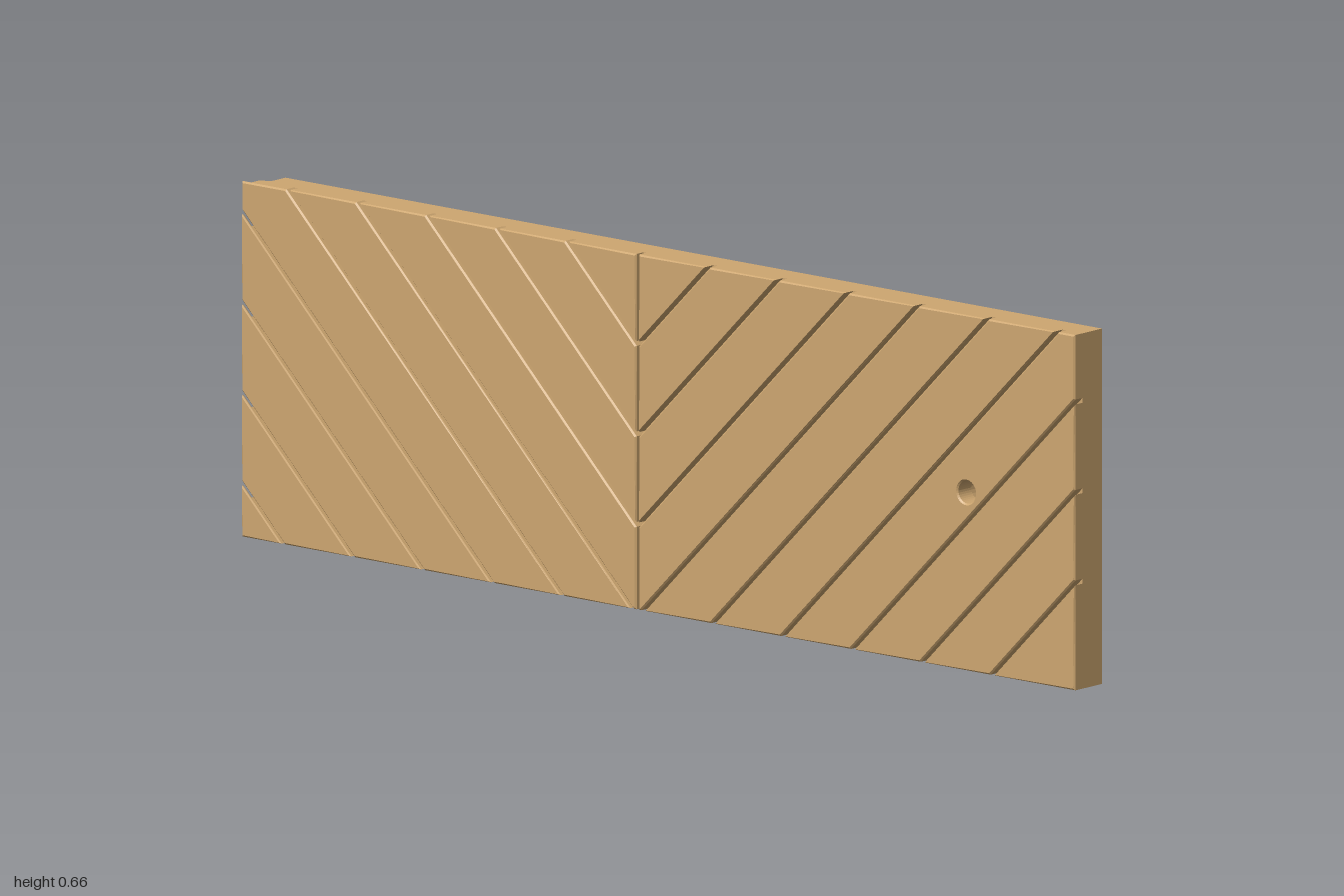
import * as THREE from 'three';

const H = 0.658, SEAM = -0.05, BACK = -0.038, FLOOR = 0, GROOVE = 0.016, FRONT = 0.038;
const HOLE = { x: 0.74, y: 0.33, r: 0.021 };
const BEVEL = 0.003, HALF = 0.0032, PITCH = 0.1675;

const wood = new THREE.MeshStandardMaterial({ color: 0xcda670 });
wood.name = 'tan wood';

const toShape = (pts) => new THREE.Shape(pts.map(([x, y]) => new THREE.Vector2(x, y)));
const toPath = (pts) => new THREE.Path(pts.map(([x, y]) => new THREE.Vector2(x, y)));
const rect = (x, y, w, h) => [
  [x - w / 2, y - h / 2], [x + w / 2, y - h / 2], [x + w / 2, y + h / 2], [x - w / 2, y + h / 2]];
const circle = (x, y, r) => new THREE.Path().absarc(x, y, r, 0, Math.PI * 2, true);

// Octagon: rectangle with cut corners
const octagon = (x0, x1, y0, y1, c) => [
  [x0 + c, y0], [x1 - c, y0], [x1, y0 + c], [x1, y1 - c],
  [x1 - c, y1], [x0 + c, y1], [x0, y1 - c], [x0, y0 + c]];

// Keeps the part of a polygon where a*x + b*y >= d
function clip(pts, a, b, d) {
  const out = [];
  pts.forEach((p, i) => {
    const q = pts[(i + 1) % pts.length];
    const fp = a * p[0] + b * p[1] - d, fq = a * q[0] + b * q[1] - d;
    if (fp >= 0) out.push(p);
    if (fp * fq < 0) {
      const t = fp / (fp - fq);
      out.push([p[0] + t * (q[0] - p[0]), p[1] + t * (q[1] - p[1])]);
    }
  });
  return out;
}

function slab(name, shape, z0, z1) {
  const geo = new THREE.ExtrudeGeometry(shape, { depth: z1 - z0, bevelEnabled: false, curveSegments: 16 });
  const mesh = new THREE.Mesh(geo.translate(0, 0, z0), wood);
  mesh.name = name;
  return mesh;
}

// Outlines of the diagonal planks on one side of the seam
function plankShapes(side, length) {
  const cuts = [-9];
  for (let k = 0; k < 9; k++) cuts.push(-0.851 + PITCH * k);
  cuts.push(9);
  const shapes = [], gap = HALF * Math.SQRT2;
  for (let i = 0; i < cuts.length - 1; i++) {
    let pts = [[HALF, 0], [length, 0], [length, H], [HALF, H]];
    pts = clip(pts, -1, 1, cuts[i] + gap);
    pts = clip(pts, 1, -1, -cuts[i + 1] + gap);
    if (pts.length < 3) continue;
    const shape = toShape(pts.map(([x, y]) => [SEAM + side * x, y]));
    const c = HOLE.y - (HOLE.x - SEAM);
    if (side > 0 && c > cuts[i] && c < cuts[i + 1]) shape.holes.push(circle(HOLE.x, HOLE.y, HOLE.r));
    shapes.push(shape);
  }
  return shapes;
}

export function createModel() {
  const model = new THREE.Group();
  model.name = 'chevronPanel';

  // Front planks: bevelled faces over straight bodies; the faces overhang at the right end
  for (const [side, name, faceLen, bodyLen] of [[1, 'left', 1.05, 1.05], [-1, 'right', 0.95, 0.93]]) {
    const planks = new THREE.Group();
    planks.name = name + 'Planks';
    for (const shape of plankShapes(side, faceLen)) {
      const geo = new THREE.ExtrudeGeometry(shape, {
        depth: 0.0015, bevelEnabled: true, bevelThickness: BEVEL, bevelSize: BEVEL,
        bevelOffset: -BEVEL, bevelSegments: 1, curveSegments: 16 });
      const face = new THREE.Mesh(geo.translate(0, 0, FRONT - BEVEL - 0.0015), wood);
      face.name = 'plankFace';
      planks.add(face);
    }
    for (const shape of plankShapes(side, bodyLen)) planks.add(slab('plankBody', shape, GROOVE, FRONT - BEVEL - 0.0005));
    model.add(planks);
  }

  // Core sheet behind the grooves
  const core = toShape([[-0.96, 0], [1, 0], [1, H], [-0.96, H]]);
  core.holes.push(circle(HOLE.x, HOLE.y, HOLE.r));
  model.add(slab('core', core, FLOOR, GROOVE));

  // Sloping step along the right end
  const step = toShape([[-0.96, 0], [-0.98, -0.012], [-0.98, -GROOVE], [-0.96, -GROOVE]]);
  const stepGeo = new THREE.ExtrudeGeometry(step, { depth: H, bevelEnabled: false });
  const stepMesh = new THREE.Mesh(stepGeo.rotateX(-Math.PI / 2), wood);
  stepMesh.name = 'endStep';
  model.add(stepMesh);

  // Back frame with three open clip slots along its right end
  const slotYs = [0.495, 0.33, 0.163], sh = 0.025, sx = -0.85;
  const outline = [[-0.96, 0], [1, 0], [1, H], [-0.96, H]];
  for (const y of slotYs) {
    outline.push([-0.96, y + sh], [sx - 0.012, y + sh], [sx, y + sh - 0.012],
      [sx, y - sh + 0.012], [sx - 0.012, y - sh], [-0.96, y - sh]);
  }
  const frame = toShape(outline);
  const outer = octagon(-0.768, 0.642, 0.025, 0.633, 0.09);
  const inner = octagon(-0.728, 0.602, 0.063, 0.595, 0.075);
  frame.holes.push(toPath(outer));
  frame.holes.push(circle(0.745, HOLE.y, 0.036));
  for (const y of [0.493, 0.16]) {
    frame.holes.push(toPath(rect(0.862, y, 0.036, 0.07)));
    frame.holes.push(toPath(rect(0.862, y - 0.084, 0.018, 0.005)));
  }
  frame.holes.push(toPath(rect(0.818, 0.325, 0.026, 0.09)));
  model.add(slab('backFrame', frame, BACK, FLOOR));

  // Sloped walls of the back pocket
  const pos = [];
  outer.forEach((a, i) => {
    const j = (i + 1) % outer.length;
    const oa = [...a, BACK], ob = [...outer[j], BACK], ia = [...inner[i], FLOOR], ib = [...inner[j], FLOOR];
    pos.push(...oa, ...ia, ...ib, ...oa, ...ib, ...ob);
  });
  const wallGeo = new THREE.BufferGeometry();
  wallGeo.setAttribute('position', new THREE.Float32BufferAttribute(pos, 3));
  wallGeo.computeVertexNormals();
  const walls = new THREE.Mesh(wallGeo, wood);
  walls.name = 'pocketWalls';
  model.add(walls);

  // Small blocks inside the recesses
  const block = (name, x, y, w, h, z0, z1) => model.add(slab(name, toShape(rect(x, y, w, h)), z0, z1));
  for (const y of slotYs) block('clipTongue', -0.915, y, 0.09, 0.016, -0.026, FLOOR);
  block('slotBridge', 0.818, 0.325, 0.026, 0.016, -0.028, FLOOR);
  for (const y of [0.493, 0.16]) block('socketLedge', 0.873, y, 0.014, 0.07, -0.022, FLOOR);

  return model;
}
